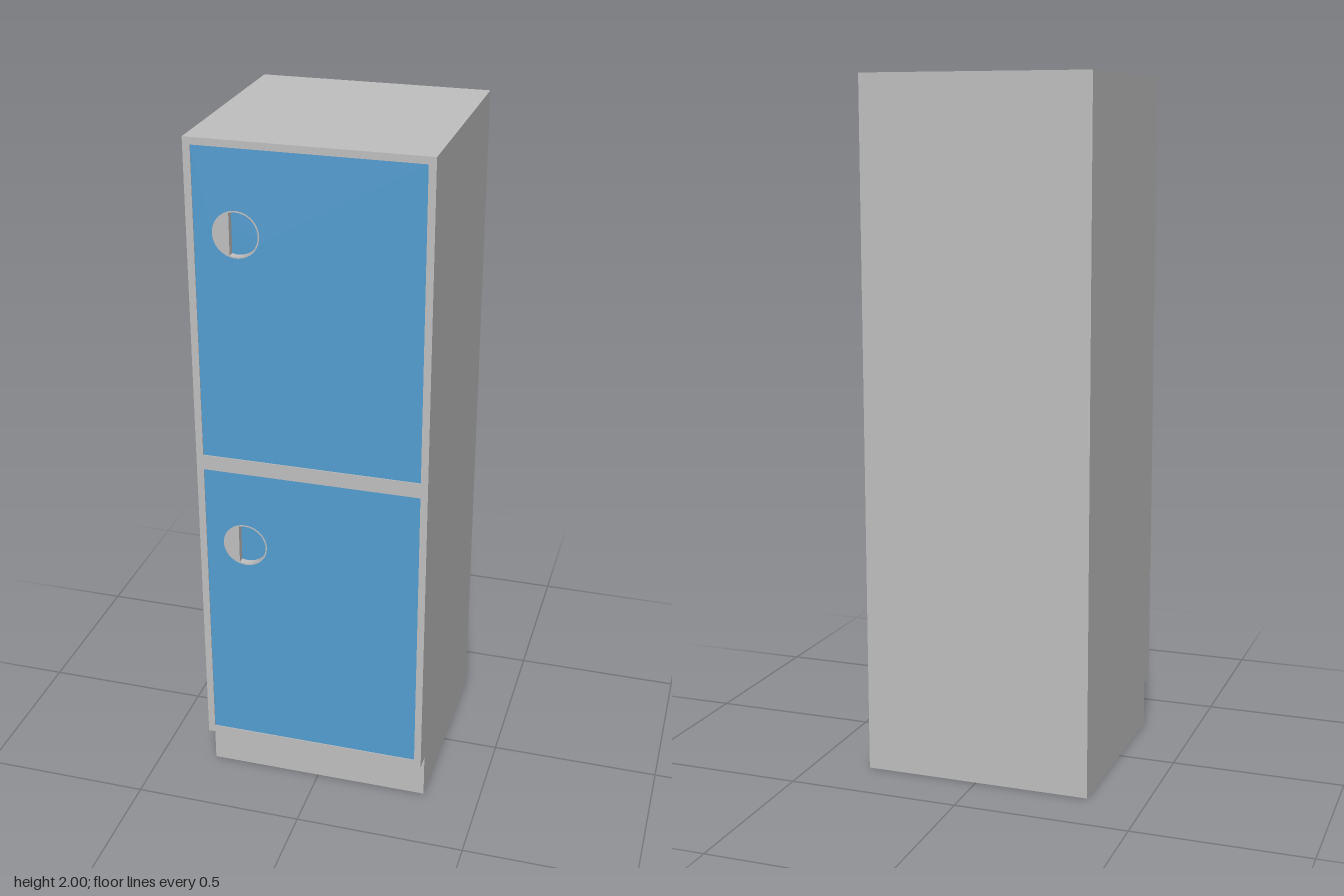
import * as THREE from 'three';

const W = 0.667, HALF = W / 2, KICK = 0.137, BACK_PLANE = 0.305;
const DOOR_HALF = 0.313;
const DOORS = [
  { name: 'upperDoor', bottom: 1.09, top: 1.98, handleY: 1.748 },
  { name: 'lowerDoor', bottom: 0.16, top: 1.045, handleY: 0.815 },
];
const HANDLE_X = -0.197, HANDLE_R = 0.065;

function rect(ShapeType, x0, y0, x1, y1) {
  return new ShapeType([[x0, y0], [x1, y0], [x1, y1], [x0, y1]].map(p => new THREE.Vector2(...p)));
}

// Extrudes a front-facing shape between two z planes
function slab(name, shape, z0, z1, material) {
  const geometry = new THREE.ExtrudeGeometry(shape, { depth: z1 - z0, bevelEnabled: false, curveSegments: 32 });
  const mesh = new THREE.Mesh(geometry, material);
  mesh.name = name;
  mesh.position.z = z0;
  return mesh;
}

export function createModel() {
  const grey = new THREE.MeshStandardMaterial({ color: 0xc0c0c0 });
  grey.name = 'grey metal';
  const blue = new THREE.MeshStandardMaterial({ color: 0x559fd3 });
  blue.name = 'blue door paint';

  const locker = new THREE.Group();
  locker.name = 'locker';

  // Carcass: side profile with the recessed kick base, extruded across x
  const profile = new THREE.Shape([
    [HALF, 0], [-0.283, 0], [-0.283, KICK], [-BACK_PLANE, KICK], [-BACK_PLANE, 2], [HALF, 2],
  ].map(p => new THREE.Vector2(...p)));
  const carcass = slab('carcass', profile, 0, W, grey);
  carcass.geometry.rotateY(Math.PI / 2);
  carcass.position.set(-HALF, 0, 0);
  locker.add(carcass);

  // Front frame with two door openings
  const frame = rect(THREE.Shape, -HALF, KICK, HALF, 2);
  for (const d of DOORS) frame.holes.push(rect(THREE.Path, -DOOR_HALF, d.bottom, DOOR_HALF, d.top));
  locker.add(slab('frontFrame', frame, BACK_PLANE, HALF, grey));

  for (const d of DOORS) {
    const door = new THREE.Group();
    door.name = d.name;

    // Door panel with a round handle cut-out
    const panel = rect(THREE.Shape, -DOOR_HALF, d.bottom, DOOR_HALF, d.top);
    panel.holes.push(new THREE.Path().absarc(HANDLE_X, d.handleY, HANDLE_R, 0, Math.PI * 2, true));
    door.add(slab('doorPanel', panel, BACK_PLANE, 0.331, blue));

    // Recessed handle: thin rim, covered on one side and open on the other
    const handle = new THREE.Shape().absarc(HANDLE_X, d.handleY, HANDLE_R, 0, Math.PI * 2, false);
    handle.holes.push(new THREE.Path().absarc(HANDLE_X, d.handleY, 0.061, -1.87, 1.87, false));
    door.add(slab('handleCup', handle, BACK_PLANE, 0.332, grey));

    // Painted floor of the handle recess
    const floor = new THREE.Shape().absarc(HANDLE_X, d.handleY, 0.062, 0, Math.PI * 2, false);
    door.add(slab('handleFloor', floor, BACK_PLANE, 0.311, blue));
    locker.add(door);
  }
  return locker;
}
